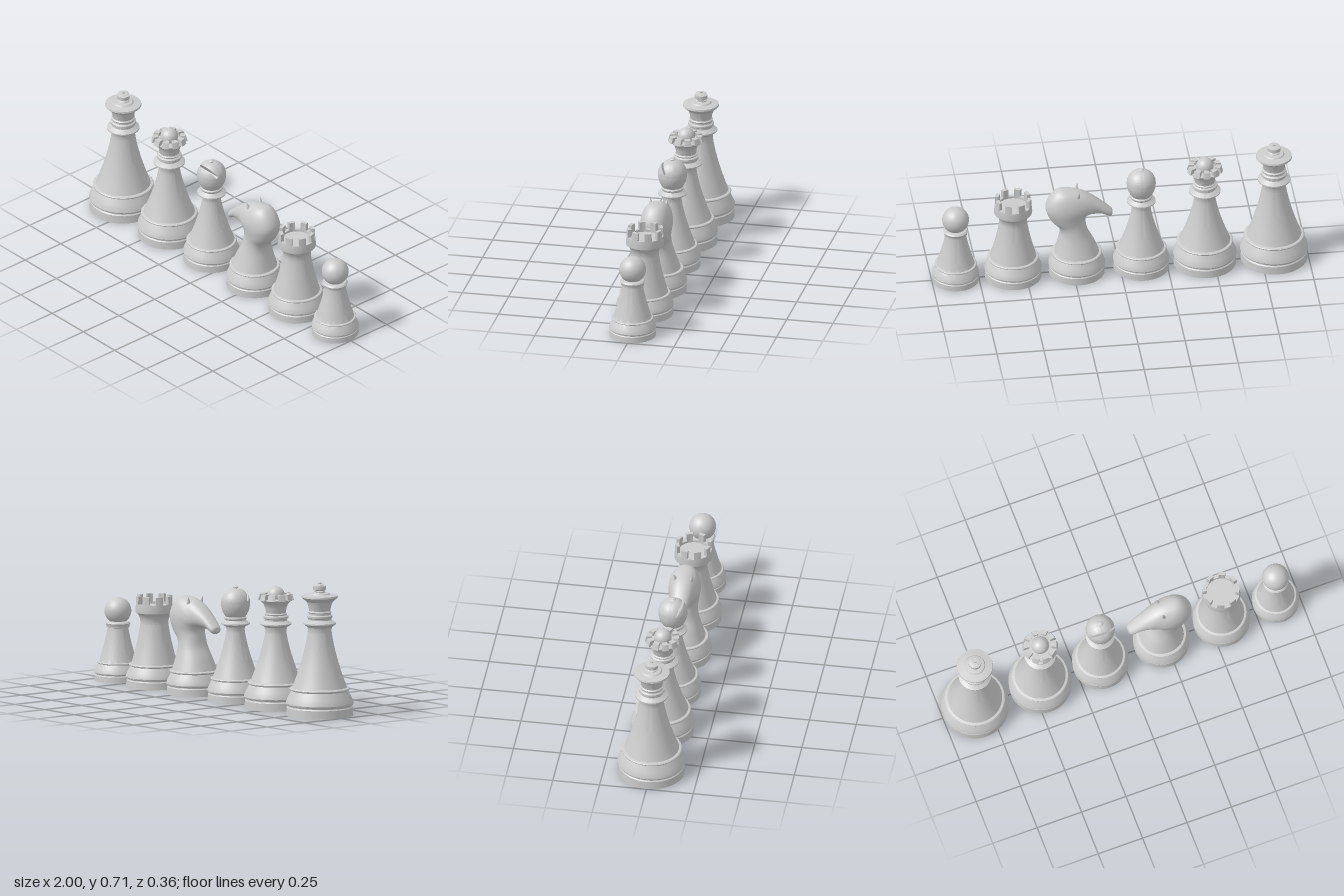
import * as THREE from 'three';
import { toCreasedNormals } from 'three/addons/utils/BufferGeometryUtils.js';

const material = new THREE.MeshStandardMaterial({ color: 0xcccccc });
const v2 = ([x, y]) => new THREE.Vector2(x, y);

function add(group, name, geometry, x = 0, y = 0, z = 0) {
  const mesh = new THREE.Mesh(geometry, material);
  mesh.name = name;
  mesh.position.set(x, y, z);
  group.add(mesh);
  return mesh;
}

const lathe = (points, crease = 0.5) =>
  toCreasedNormals(new THREE.LatheGeometry(points.map(v2), 56), crease);

// Foot, groove, bulge and belt shared by every piece: R foot radius, h belt height
const footProfile = (R, h) => [
  [0, 0], [R * 0.985, 0], [R * 0.97, h * 0.3], [R * 0.94, h * 0.34], [R * 0.94, h * 0.37],
  [R * 0.985, h * 0.4], [R, h * 0.45], [R * 0.985, h * 0.52], [R * 0.93, h * 0.68],
  [R * 0.83, h * 0.91], [R * 0.88, h * 0.94], [R * 0.89, h * 0.98], [R * 0.87, h * 1.01],
  [R * 0.8, h * 1.03],
];

// Concave stem from the belt up to radius r at height y
function stemProfile(R, h, r, y) {
  const r0 = R * 0.8, y0 = h * 1.03;
  const curve = new THREE.QuadraticBezierCurve(
    v2([r0, y0]), v2([r + 0.16 * (r0 - r), (y0 + y) / 2 + 0.03]), v2([r, y]));
  return curve.getPoints(14).slice(1).map((p) => [p.x, p.y]);
}

function turned(group, R, h, r, y, top) {
  add(group, 'turnedBody', lathe([...footProfile(R, h), ...stemProfile(R, h, r, y), ...top]));
}

// Ring of upright blocks; taper scales the top inwards
function battlements(group, name, count, rIn, rOut, y0, y1, fill, taper = 1) {
  const half = (Math.PI / count) * fill;
  const shape = new THREE.Shape();
  shape.absarc(0, 0, rOut, -half, half, false);
  shape.absarc(0, 0, rIn, half, -half, true);
  const geo = new THREE.ExtrudeGeometry(shape, { depth: y1 - y0, bevelEnabled: false, curveSegments: 6 });
  geo.rotateX(-Math.PI / 2);
  const p = geo.attributes.position;
  for (let i = 0; i < p.count; i++) {
    if (p.getY(i) > (y1 - y0) / 2) p.setXYZ(i, p.getX(i) * taper, p.getY(i), p.getZ(i) * taper);
  }
  geo.computeVertexNormals();
  for (let i = 0; i < count; i++) {
    add(group, name, geo, 0, y0).rotation.y = ((i + 0.5) / count) * Math.PI * 2;
  }
}

function king(g) {
  turned(g, 0.18, 0.145, 0.062, 0.455, [
    [0.066, 0.47], [0.086, 0.485], [0.086, 0.492], [0.07, 0.502], [0.062, 0.508], [0.062, 0.515],
    [0.068, 0.52], [0.068, 0.53], [0.06, 0.536], [0.06, 0.545], [0.063, 0.55], [0.056, 0.556],
    [0.06, 0.58], [0.07, 0.605], [0.092, 0.623], [0.096, 0.628], [0.094, 0.637], [0.055, 0.643],
    [0.05, 0.649], [0.03, 0.651], [0.027, 0.656], [0.033, 0.66], [0.027, 0.664], [0.034, 0.669],
    [0.034, 0.688], [0.02, 0.69], [0.018, 0.694], [0.029, 0.696], [0.02, 0.699], [0.009, 0.699],
    [0.009, 0.705], [0, 0.706]]);
}

function queen(g) {
  turned(g, 0.168, 0.137, 0.055, 0.41, [
    [0.06, 0.43], [0.084, 0.443], [0.084, 0.449], [0.068, 0.459], [0.059, 0.464], [0.059, 0.472],
    [0.066, 0.477], [0.066, 0.487], [0.057, 0.493], [0.06, 0.5], [0.053, 0.505], [0.056, 0.53],
    [0.066, 0.555], [0.085, 0.573], [0.085, 0.578], [0.06, 0.58], [0, 0.58]]);
  battlements(g, 'crownPoint', 10, 0.064, 0.095, 0.574, 0.606, 0.66, 0.9);
  add(g, 'crownBall', new THREE.SphereGeometry(0.047, 32, 20), 0, 0.598);
}

// Egg head with a slot: rings lie parallel to the slot and are cut flat inside it
function slottedHead(R) {
  const floor = 0.025, m0 = 0.004, m1 = 0.017, cols = 72;
  const rings = [];
  for (let i = 0; i <= 40; i++) rings.push([-R * Math.cos((i / 40) * Math.PI), false]);
  const kept = rings.filter(([m]) => m < m0 - 0.001 || m > m1 + 0.001);
  const all = [...kept, [m0, false], [m0 + 1e-5, true], [m1 - 1e-5, true], [m1, false]]
    .sort((a, b) => a[0] - b[0]);
  const up = [0.83, 0.558], nrm = [-0.558, 0.83]; // (y, z) of the slot's opening and normal
  const pos = [], idx = [];
  for (const [m, cut] of all) {
    const r = Math.sqrt(Math.max(0, R * R - m * m));
    for (let k = 0; k <= cols; k++) {
      const a = (k / cols) * Math.PI * 2;
      let d = r * Math.cos(a);
      if (cut) d = Math.min(d, floor);
      const y = d * up[0] + m * nrm[0], z = d * up[1] + m * nrm[1];
      pos.push(r * Math.sin(a), y < 0 ? y * 1.3 : y, z);
    }
  }
  for (let j = 0; j < all.length - 1; j++) {
    for (let k = 0; k < cols; k++) {
      const a = j * (cols + 1) + k, b = a + cols + 1;
      idx.push(a, a + 1, b, a + 1, b + 1, b);
    }
  }
  const geo = new THREE.BufferGeometry();
  geo.setAttribute('position', new THREE.Float32BufferAttribute(pos, 3));
  geo.setIndex(idx);
  // Turn the faces outwards if the ring order runs the other way
  const [A, B, C] = [0, 1, 2].map((n) =>
    new THREE.Vector3().fromBufferAttribute(geo.attributes.position, idx[6 * cols * 8 + n]));
  if (B.clone().sub(A).cross(C.clone().sub(A)).dot(A) < 0) geo.setIndex(idx.reverse());
  return toCreasedNormals(geo, 0.6);
}

function bishop(g) {
  turned(g, 0.15, 0.122, 0.048, 0.38, [
    [0.052, 0.395], [0.076, 0.408], [0.076, 0.414], [0.06, 0.424], [0.054, 0.43], [0.058, 0.437],
    [0.058, 0.443], [0.05, 0.45], [0, 0.45]]);
  add(g, 'slottedHead', slottedHead(0.077), 0, 0.522);
  add(g, 'finial', lathe([[0, 0.592], [0.011, 0.594], [0.011, 0.599], [0.016, 0.603], [0.011, 0.608], [0, 0.611]]));
}

// Lofted horse head: each row is throat x, y, back x, y and half width
function horseHead() {
  const rows = [
    [-0.118, 0.125, 0.118, 0.125, 0.118], [-0.088, 0.195, 0.1, 0.195, 0.095],
    [-0.06, 0.25, 0.09, 0.25, 0.08], [-0.048, 0.3, 0.1, 0.29, 0.073],
    [-0.045, 0.335, 0.138, 0.332, 0.076], [-0.055, 0.355, 0.166, 0.405, 0.083],
    [-0.07, 0.363, 0.145, 0.468, 0.083], [-0.085, 0.363, 0.1, 0.51, 0.075],
    [-0.1, 0.36, 0.04, 0.511, 0.065], [-0.12, 0.358, -0.02, 0.497, 0.055],
    [-0.14, 0.352, -0.07, 0.47, 0.046], [-0.16, 0.342, -0.125, 0.428, 0.04],
    [-0.176, 0.335, -0.168, 0.39, 0.034], [-0.187, 0.343, -0.187, 0.372, 0.022],
    [-0.19, 0.356, -0.19, 0.358, 0.002]];
  const throat = new THREE.CatmullRomCurve3(rows.map((q) => new THREE.Vector3(q[0], q[1], q[4])), false, 'catmullrom');
  const back = new THREE.CatmullRomCurve3(rows.map((q) => new THREE.Vector3(q[2], q[3], 0)), false, 'catmullrom');
  const steps = 70, cols = 36, pos = [], idx = [];
  for (let j = 0; j <= steps; j++) {
    const a = throat.getPoint(j / steps), b = back.getPoint(j / steps);
    for (let k = 0; k < cols; k++) {
      const t = (k / cols) * Math.PI * 2, c = Math.cos(t), s = Math.sin(t);
      const sw = Math.sign(s) * Math.pow(Math.abs(s), 0.85);
      pos.push((a.x + b.x) / 2 + (c * (b.x - a.x)) / 2, (a.y + b.y) / 2 + (c * (b.y - a.y)) / 2, sw * a.z);
      if (j === steps) continue;
      const p = j * cols + k, q = j * cols + ((k + 1) % cols);
      idx.push(p, p + cols, q, q, p + cols, q + cols);
    }
  }
  const geo = new THREE.BufferGeometry();
  geo.setAttribute('position', new THREE.Float32BufferAttribute(pos, 3));
  geo.setIndex(idx);
  geo.computeVertexNormals();
  return geo;
}

function knight(g) {
  add(g, 'foot', lathe([...footProfile(0.15, 0.125), [0, 0.13]]));
  add(g, 'horseHead', horseHead());
  for (const side of [-1, 1]) {
    const ear = add(g, 'ear', new THREE.ConeGeometry(0.02, 0.065, 12), -0.002, 0.488, side * 0.042);
    ear.rotation.set(side * 0.25, 0, 0.2);
  }
}

function rook(g) {
  turned(g, 0.152, 0.122, 0.073, 0.345, [
    [0.077, 0.365], [0.083, 0.38], [0.092, 0.391], [0.1, 0.396], [0.101, 0.402], [0.097, 0.442],
    [0.078, 0.442], [0.078, 0.43], [0, 0.43]]);
  battlements(g, 'merlon', 8, 0.078, 0.097, 0.44, 0.485, 0.52, 0.985);
}

function pawn(g) {
  turned(g, 0.125, 0.1, 0.055, 0.283, [
    [0.061, 0.285], [0.061, 0.292], [0.067, 0.305], [0.06, 0.312], [0.045, 0.316], [0, 0.316]]);
  add(g, 'ball', new THREE.SphereGeometry(0.071, 40, 28), 0, 0.371);
}

export function createModel() {
  const model = new THREE.Group();
  const pieces = { king: [king, -0.82], queen: [queen, -0.452], bishop: [bishop, -0.114],
    knight: [knight, 0.229], rook: [rook, 0.567], pawn: [pawn, 0.873] };
  for (const [name, [build, x]] of Object.entries(pieces)) {
    const piece = new THREE.Group();
    piece.name = name;
    piece.position.x = x;
    build(piece);
    model.add(piece);
  }
  return model;
}
